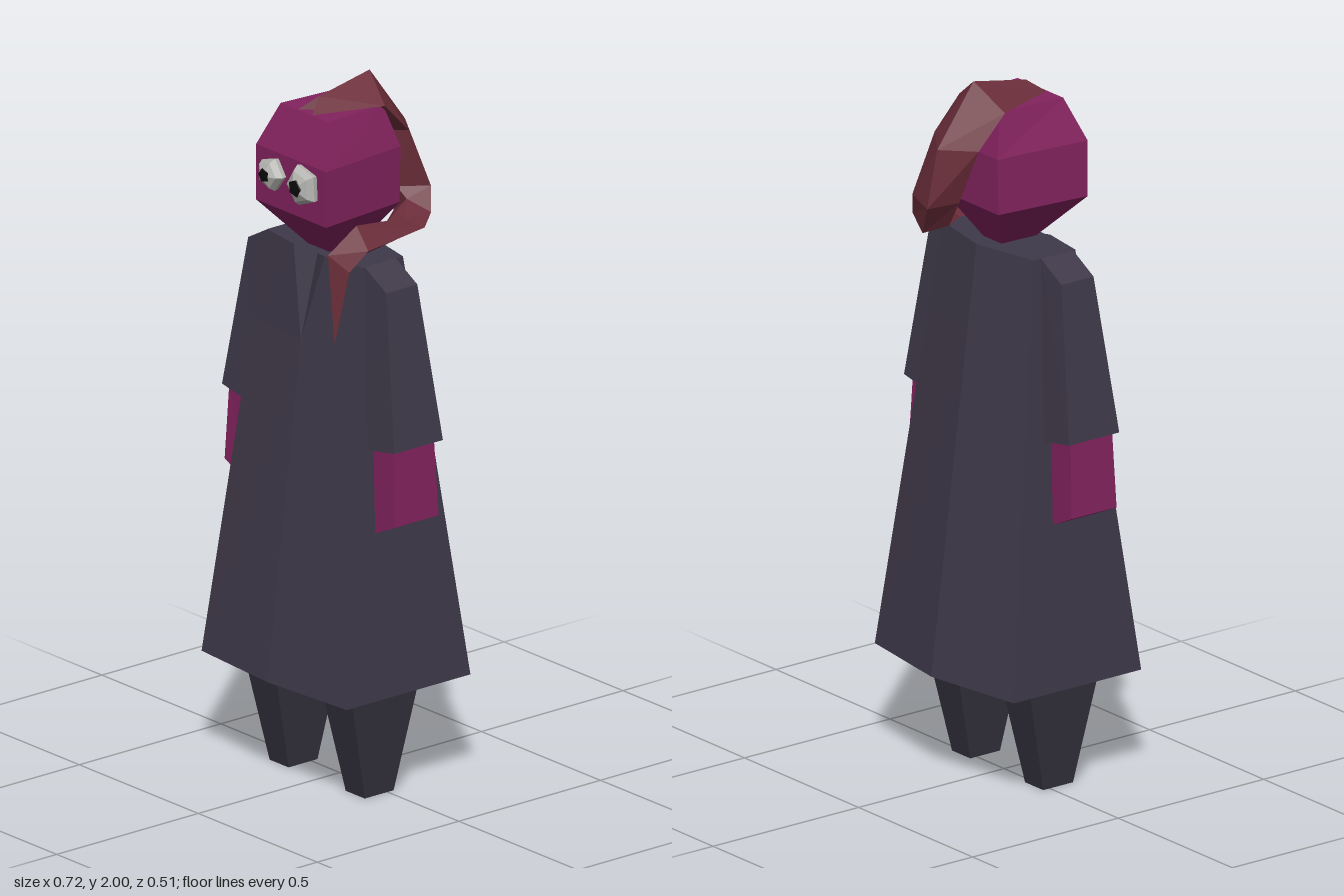
import * as THREE from 'three';

const mat = (color) => new THREE.MeshStandardMaterial({ color, flatShading: true, roughness: 0.9 });
const cloth = mat(0x3f3949), trousers = mat(0x34313d), skin = mat(0x84235f);
const tailMat = mat(0x6c2e3a), eyeWhite = mat(0xb4b4b0), black = mat(0x0c0c0c);

// Closed skin through cross-sections that share a point count; faces are turned outward
function loft(rings) {
  const n = rings[0].length, tris = [];
  const v = (p) => new THREE.Vector3(...p);
  const add = (a, b, c) => {
    const area = v(b).sub(v(a)).cross(v(c).sub(v(a))).length();
    if (area > 1e-7) tris.push([a, b, c]);
  };
  for (let r = 0; r < rings.length - 1; r++) {
    for (let i = 0; i < n; i++) {
      const j = (i + 1) % n, lo = rings[r], hi = rings[r + 1];
      add(lo[i], lo[j], hi[j]);
      add(lo[i], hi[j], hi[i]);
    }
  }
  const first = rings[0], last = rings[rings.length - 1];
  for (let i = 1; i < n - 1; i++) {
    add(first[0], first[i + 1], first[i]);
    add(last[0], last[i], last[i + 1]);
  }
  let volume = 0;
  for (const [a, b, c] of tris) volume += v(a).dot(v(b).cross(v(c)));
  if (volume < 0) tris.forEach((t) => t.reverse());
  const geo = new THREE.BufferGeometry();
  geo.setAttribute('position', new THREE.Float32BufferAttribute(tris.flat(2), 3));
  geo.computeVertexNormals();
  return geo;
}

// Four-cornered section; yIn and yOut let it slope sideways
const quad = (x0, x1, y0, y1, back, front) =>
  [[x0, y0, front], [x1, y1, front], [x1, y1, back], [x0, y0, back]];

export function createModel() {
  const model = new THREE.Group();
  const part = (name, geo, material, parent = model) => {
    const mesh = new THREE.Mesh(geo, material);
    mesh.name = name;
    parent.add(mesh);
    return mesh;
  };

  // Robe: six-sided flare with a V-shaped hollow at the neck
  const robeRing = (y, w, front, midFront, back, midBack, neckW = 0, neckZ = midFront) => [
    [-w, y, front], [-neckW, y, midFront], [0, y, neckZ], [neckW, y, midFront], [w, y, front],
    [w, y, back], [0, y, midBack], [-w, y, back],
  ];
  part('robe', loft([
    robeRing(0.32, 0.305, 0.232, 0.255, -0.205, -0.25),
    robeRing(1.28, 0.222, 0.118, 0.138, -0.086, -0.127),
    robeRing(1.53, 0.2, 0.088, 0.108, -0.055, -0.095, 0.065, 0.075),
  ]), cloth);

  // Legs, sleeves and hands, mirrored
  for (const s of [1, -1]) {
    const side = s > 0 ? 'left' : 'right';
    const mirrored = (rings) => loft(rings.map((r) => r.map(([x, y, z]) => [s * x, y, z])));
    part(side + 'Leg', mirrored([
      quad(0.12, 0.2, 0, 0, -0.022, 0.08),
      quad(0.095, 0.228, 0.34, 0.34, -0.097, 0.155),
    ]), trousers);
    part(side + 'Sleeve', mirrored([
      quad(0.25, 0.362, 1.025, 1.045, -0.06, 0.112),
      quad(0.2, 0.29, 1.53, 1.48, -0.03, 0.08),
    ]), cloth);
    part(side + 'Hand', mirrored([
      quad(0.275, 0.358, 0.79, 0.83, -0.048, 0.106),
      quad(0.26, 0.345, 1.04, 1.055, -0.042, 0.1),
    ]), skin);
  }

  // Head: wide face, narrower back, tapering to the chin
  const headRing = (y, wf, wb, back, front) =>
    [[-wf, y, front], [wf, y, front], [wb, y, back], [-wb, y, back]];
  part('head', loft([
    headRing(1.53, 0.045, 0.04, -0.04, 0.075),
    headRing(1.65, 0.147, 0.118, -0.112, 0.172),
    headRing(1.81, 0.147, 0.118, -0.115, 0.172),
    headRing(1.93, 0.1, 0.085, -0.08, 0.125),
  ]), skin);

  // Eyes: five-sided domes with flat pupils
  for (const [name, x, r, turn] of [['rightEye', -0.068, 0.049, 0.3], ['leftEye', 0.063, 0.06, -0.25]]) {
    const eye = new THREE.Group();
    eye.name = name;
    eye.position.set(x, 1.75, 0.165);
    eye.rotation.set(Math.PI / 2, 0, 0);
    model.add(eye);
    const profile = [[r * 0.94, 0], [r, 0.02], [r * 0.78, 0.037], [r * 0.4, 0.047], [0, 0.047]];
    const ball = part('eyeball', new THREE.LatheGeometry(
      profile.map((p) => new THREE.Vector2(...p)), 5), eyeWhite, eye);
    const pupil = part('pupil', new THREE.CylinderGeometry(r * 0.4, r * 0.42, 0.004, 5), black, eye);
    pupil.position.y = 0.048;
    ball.rotation.y = turn;
    pupil.rotation.y = turn + Math.PI / 5;
  }

  // Head tail: crest over the crown, down the back, round the left side to a hanging tip
  // Each section runs: outer ridge, left edge, inner ridge, right edge
  const tip = [0.175, 1.32, 0.165];
  part('headTail', loft([
    [[0, 1.965, 0.075], [0.03, 1.93, 0.122], [0, 1.91, 0.1], [-0.03, 1.93, 0.122]],
    [[0, 2, -0.105], [0.1, 1.93, -0.075], [0, 1.9, -0.04], [-0.1, 1.93, -0.075]],
    [[0, 1.83, -0.23], [0.1, 1.84, -0.16], [0.01, 1.83, -0.11], [-0.08, 1.83, -0.15]],
    [[0.015, 1.66, -0.253], [0.115, 1.67, -0.225], [0.06, 1.67, -0.15], [-0.02, 1.67, -0.17]],
    [[0.07, 1.57, -0.225], [0.14, 1.605, -0.205], [0.09, 1.64, -0.16], [0.03, 1.59, -0.165]],
    [[0.14, 1.56, -0.12], [0.19, 1.59, -0.14], [0.14, 1.61, -0.11], [0.09, 1.58, -0.08]],
    [[0.16, 1.545, 0.07], [0.215, 1.58, 0.08], [0.165, 1.64, 0.08], [0.11, 1.56, 0.07]],
    [[0.17, 1.5, 0.115], [0.207, 1.53, 0.14], [0.17, 1.58, 0.185], [0.14, 1.5, 0.14]],
    [tip, tip, tip, tip],
  ]), tailMat);

  return model;
}
